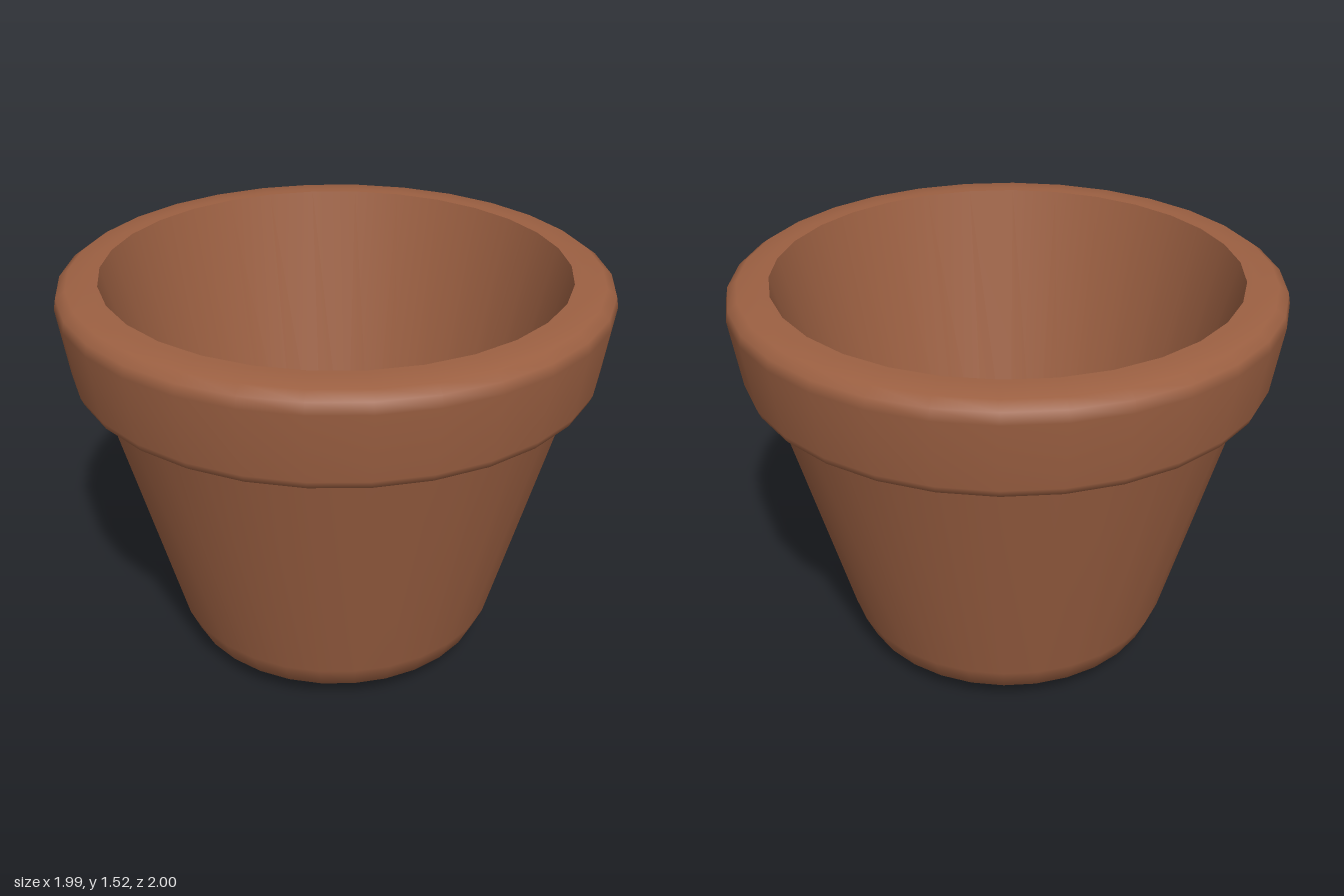
import * as THREE from 'three';

const SIDES = 30;

export function createModel() {
  const model = new THREE.Group();
  model.name = 'flowerPot';

  const terracotta = new THREE.MeshStandardMaterial({ color: 0x9c6042 });
  terracotta.name = 'terracotta';

  // Revolve a [radius, height] profile; each part is smooth, with hard edges between parts
  const turn = (name, profile) => {
    const points = profile.map(([r, y]) => new THREE.Vector2(r, y));
    const mesh = new THREE.Mesh(new THREE.LatheGeometry(points, SIDES), terracotta);
    mesh.name = name;
    model.add(mesh);
  };

  // Underside, rounded foot and tapered wall
  turn('outerWall', [
    [0, 0], [0.41, 0.005], [0.505, 0.03], [0.585, 0.09], [0.625, 0.18], [0.885, 1.16],
  ]);

  // Thick collar with rounded edges, from its underside to the inner lip
  turn('rim', [
    [0.885, 1.16], [0.935, 1.16], [0.953, 1.168], [0.964, 1.195],
    [1.0, 1.445], [0.992, 1.485], [0.957, 1.51], [0.88, 1.517], [0.845, 1.517],
  ]);

  // Hollow inside: tapered wall rounding into the floor
  turn('innerWallAndFloor', [
    [0.845, 1.517], [0.525, 0.24], [0.495, 0.18], [0.44, 0.155], [0, 0.15],
  ]);

  return model;
}
